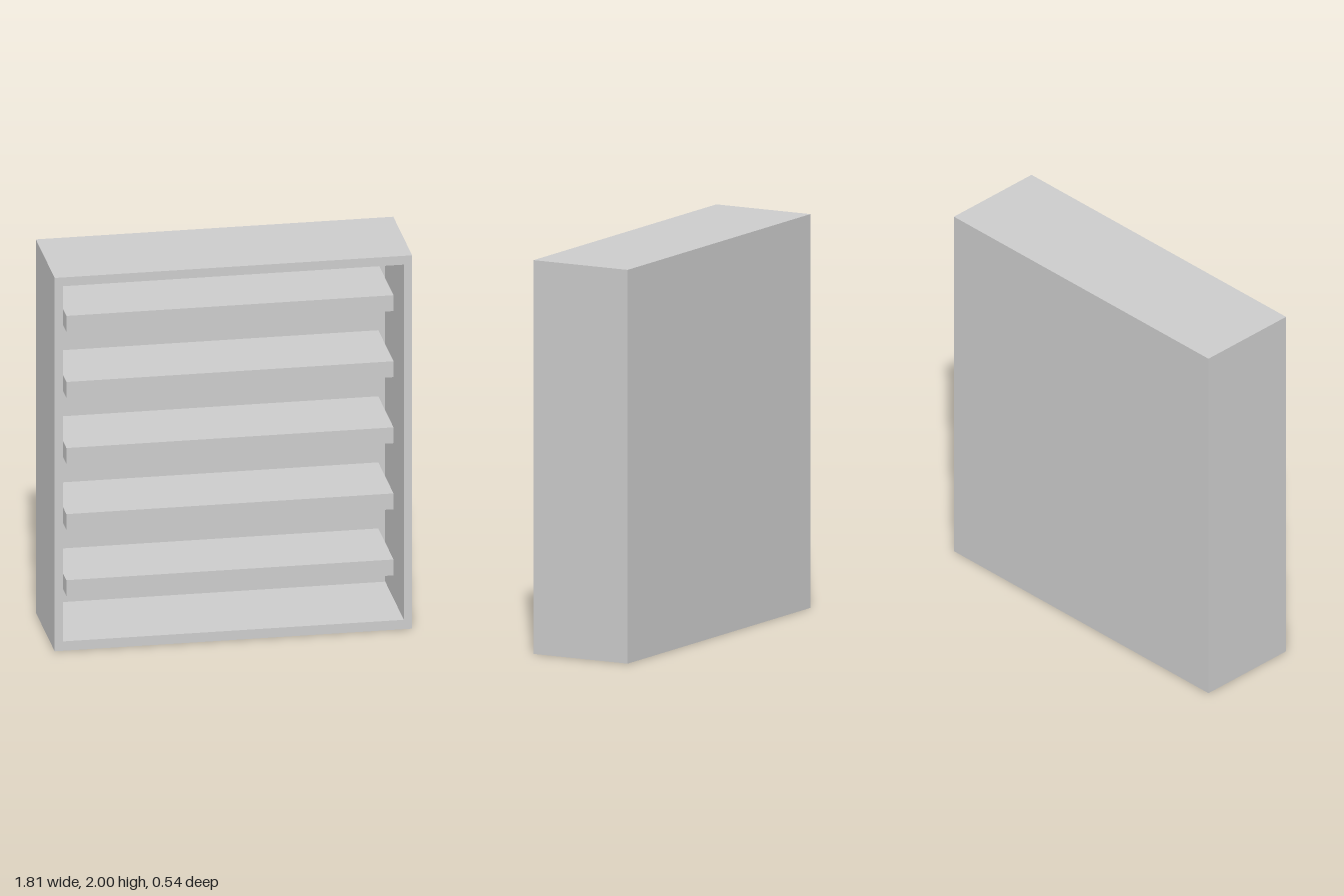
import * as THREE from 'three';

export function createModel() {
  const model = new THREE.Group();
  model.name = 'bookcase';
  const material = new THREE.MeshStandardMaterial({ color: 0xcccccc, flatShading: true });

  const W = 0.907, H = 2, D = 0.272; // half width, height, half depth
  const backThickness = 0.006;

  const add = (name, geometry, x, y, z) => {
    const mesh = new THREE.Mesh(geometry, material);
    mesh.name = name;
    mesh.position.set(x, y, z);
    model.add(mesh);
  };

  const rectangle = (path, x, y0, y1) =>
    path.moveTo(-x, y0).lineTo(x, y0).lineTo(x, y1).lineTo(-x, y1).closePath();

  // Outer frame: sides, top and bottom in one piece
  const outline = new THREE.Shape();
  rectangle(outline, W, 0, H);
  const opening = new THREE.Path();
  rectangle(opening, 0.865, 0.05, 1.953);
  outline.holes.push(opening);
  const frame = new THREE.ExtrudeGeometry(outline, { depth: 2 * D - backThickness, bevelEnabled: false });
  add('frame', frame, 0, 0, -D + backThickness);

  // Thin back panel
  add('backPanel', new THREE.BoxGeometry(2 * W, H, backThickness), 0, H / 2, -D + backThickness / 2);

  // Five shelves fixed to the back, set in from the front and sides
  const shelfFront = 0.172, shelfBack = -D + backThickness;
  const shelf = new THREE.BoxGeometry(1.66, 0.085, shelfFront - shelfBack);
  for (let i = 0; i < 5; i++) {
    add(`shelf${i + 1}`, shelf, 0, 0.295 + i * 0.354, (shelfFront + shelfBack) / 2);
  }

  return model;
}
